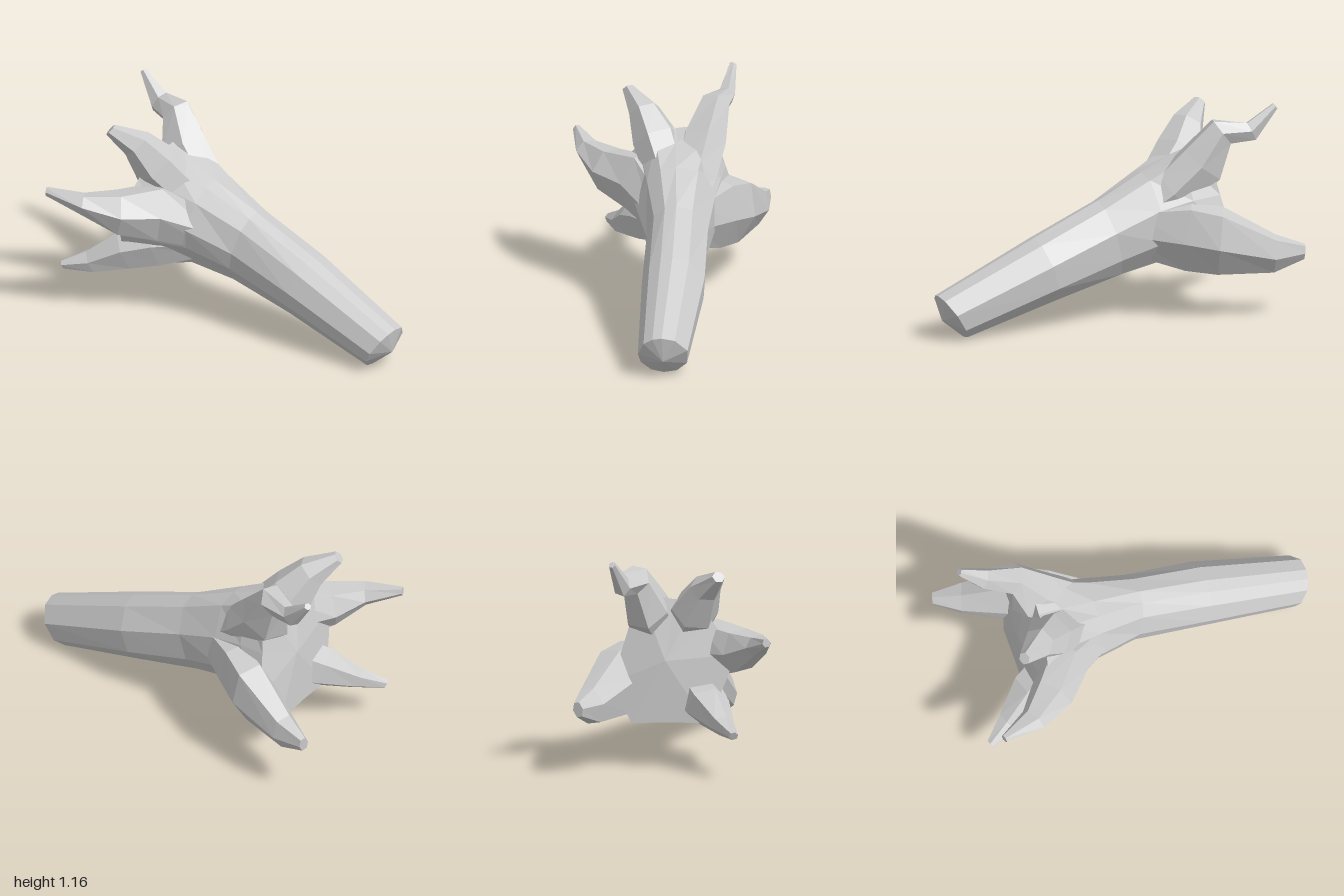
import * as THREE from 'three';

const material = new THREE.MeshStandardMaterial({ color: 0xcccccc, flatShading: true });
const V = (x, y, z) => new THREE.Vector3(x, y, z);

// Faceted skin over rings of points, closed by fans at the two cap points
function loft(name, rings, startCap, endCap) {
  const pos = [];
  const tri = (...pts) => pts.forEach((p) => pos.push(p.x, p.y, p.z));
  const sides = rings[0].length;
  const last = rings.length - 1;
  for (let j = 0; j < sides; j++) {
    const k = (j + 1) % sides;
    for (let i = 0; i < last; i++) {
      tri(rings[i][j], rings[i][k], rings[i + 1][k]);
      tri(rings[i][j], rings[i + 1][k], rings[i + 1][j]);
    }
    tri(startCap, rings[0][k], rings[0][j]);
    tri(endCap, rings[last][j], rings[last][k]);
  }
  const geometry = new THREE.BufferGeometry();
  geometry.setAttribute('position', new THREE.Float32BufferAttribute(pos, 3));
  geometry.computeVertexNormals();
  const mesh = new THREE.Mesh(geometry, material);
  mesh.name = name;
  return mesh;
}

// Outline of the root crown (z, y): a ridge at each root, a web between neighbours
const crown = [
  [0.3, 0.62], [0.16, 0.79], [0.08, 0.92], [-0.05, 0.9], [-0.24, 0.93], [-0.31, 0.68],
  [-0.38, 0.45], [-0.26, 0.24], [-0.05, 0.25], [0.15, 0.25], [0.24, 0.46],
];

// Trunk stations: x, y, z, half height, half width, tilt, share of the crown outline
function makeTrunk() {
  const rings = [
    [0.917, 0.118, -0.08, 0.122, 0.138, 0.62, 0],
    [0.38, 0.325, -0.1, 0.177, 0.174, 0.3, 0],
    [0, 0.452, -0.095, 0.213, 0.17, 0.25, 0],
    [-0.25, 0.535, -0.08, 0.225, 0.2, 0.15, 0.2],
    [-0.43, 0.56, -0.075, 0.25, 0.22, 0.1, 0.6],
    [-0.59, 0.6, -0.06, 0.25, 0.22, 0.2, 1],
  ].map(([x, y, z, h, w, tilt, share]) => crown.map(([cz, cy]) => {
    const a = Math.atan2(cy - 0.6, cz + 0.06);
    const py = THREE.MathUtils.lerp(y + h * Math.sin(a), cy, share);
    const pz = THREE.MathUtils.lerp(z + w * Math.cos(a), cz, share);
    return V(x + tilt * (py - y), py, pz);
  }));
  return loft('trunk', rings, V(0.97, 0.1, -0.08), V(-0.64, 0.58, -0.08));
}

// Root stations: x, y, z, half width around the trunk, half thickness
function makeRoot(name, radial, stations) {
  const across = V(1, 0, 0).cross(V(0, ...radial)).normalize();
  const centres = stations.map(([x, y, z]) => V(x, y, z));
  const last = centres.length - 1;
  const rings = stations.map(([, , , w, t], i) => {
    const dir = centres[Math.min(i + 1, last)].clone().sub(centres[Math.max(i - 1, 0)]);
    const out = dir.cross(across).normalize();
    return Array.from({ length: 6 }, (_, j) => {
      const a = ((j + 0.5) / 6) * Math.PI * 2;
      return centres[i].clone().addScaledVector(across, w * Math.cos(a))
        .addScaledVector(out, t * Math.sin(a));
    });
  });
  return loft(name, rings, centres[0], centres[last]);
}

export function createModel() {
  const group = new THREE.Group();
  group.name = 'fallenTrunk';
  group.add(makeTrunk());

  // Five tapering roots that start inside the trunk and fan out of the crown
  group.add(
    makeRoot('frontRoot', [0.15, 1], [
      [-0.15, 0.53, 0, 0.12, 0.07],
      [-0.43, 0.62, 0.14, 0.17, 0.13],
      [-0.58, 0.64, 0.32, 0.125, 0.12],
      [-0.72, 0.695, 0.44, 0.06, 0.075],
      [-0.91, 0.745, 0.515, 0.025, 0.022],
    ]),
    makeRoot('lowerFrontRoot', [-0.6, 0.5], [
      [-0.2, 0.44, -0.03, 0.09, 0.08],
      [-0.48, 0.39, 0.07, 0.13, 0.13],
      [-0.64, 0.34, 0.15, 0.12, 0.12],
      [-0.8, 0.265, 0.26, 0.06, 0.07],
      [-0.93, 0.235, 0.34, 0.025, 0.025],
    ]),
    makeRoot('backRoot', [-0.2, -1], [
      [-0.12, 0.49, -0.15, 0.14, 0.07],
      [-0.4, 0.465, -0.28, 0.21, 0.12],
      [-0.55, 0.44, -0.36, 0.2, 0.13],
      [-0.83, 0.36, -0.455, 0.11, 0.08],
      [-0.985, 0.365, -0.5, 0.045, 0.03],
    ]),
    makeRoot('upperBackRoot', [0.9, -0.3], [
      [-0.2, 0.58, -0.13, 0.1, 0.1],
      [-0.36, 0.69, -0.16, 0.13, 0.14],
      [-0.52, 0.84, -0.2, 0.13, 0.15],
      [-0.61, 1.015, -0.25, 0.085, 0.09],
      [-0.76, 1.01, -0.3, 0.05, 0.065],
      [-0.89, 1.145, -0.33, 0.02, 0.02],
    ]),
    makeRoot('upperFrontRoot', [0.9, 0.45], [
      [-0.2, 0.58, -0.05, 0.09, 0.1],
      [-0.36, 0.69, -0.01, 0.12, 0.13],
      [-0.51, 0.84, 0.06, 0.13, 0.14],
      [-0.59, 0.975, 0.13, 0.085, 0.09],
      [-0.7, 1.06, 0.22, 0.035, 0.035],
    ]),
  );
  return group;
}
